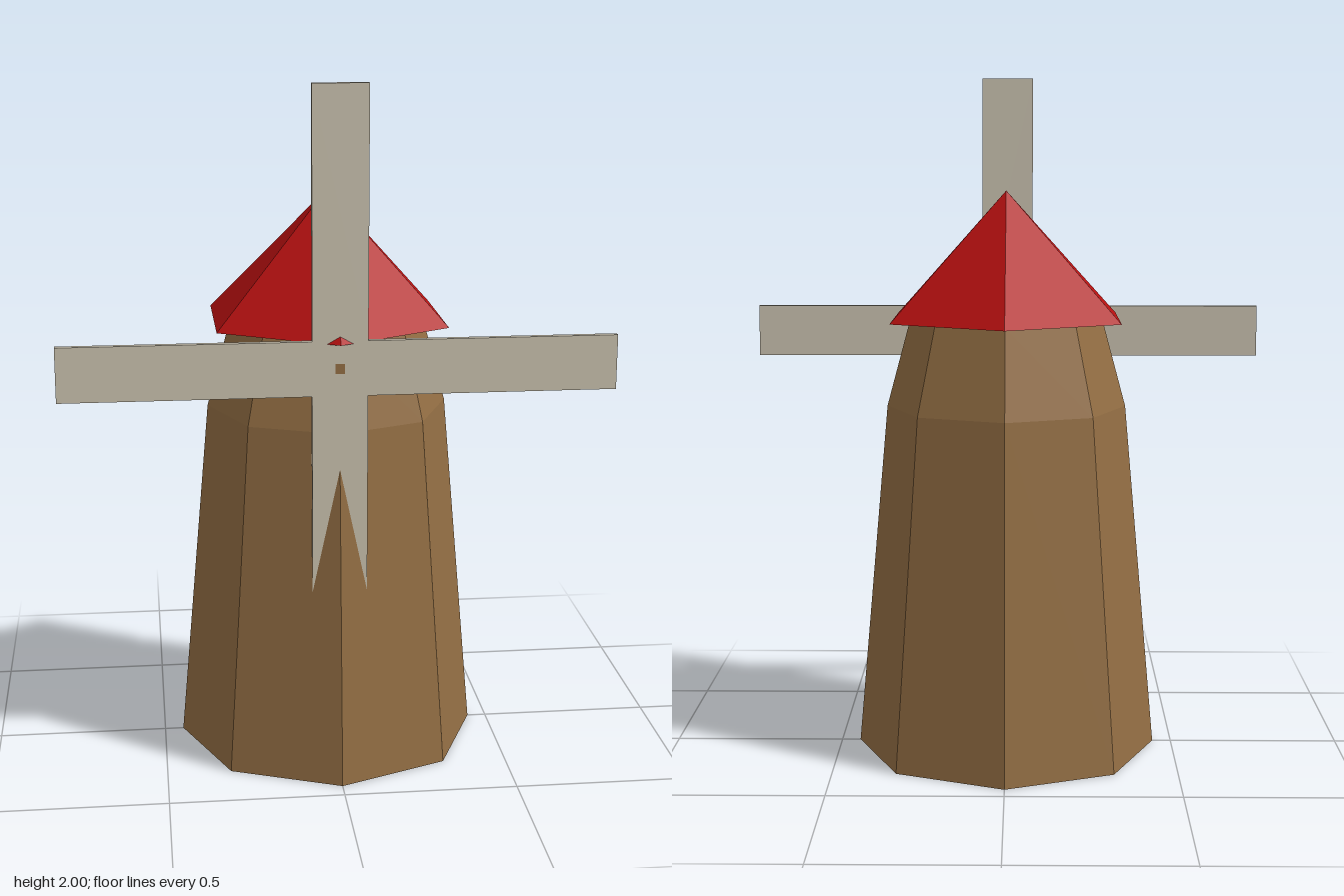
import * as THREE from 'three';

export function createModel() {
  const group = new THREE.Group();
  const material = (name, color) => {
    const m = new THREE.MeshStandardMaterial({ color });
    m.name = name;
    m.flatShading = true;
    return m;
  };
  const wood = material('brown wood', 0x946f44);
  wood.side = THREE.DoubleSide; // the tower is an open shell
  const red = material('roof red', 0xb31010);
  const cream = material('sail cream', 0xccc4b1);

  const add = (name, geometry, mat, y = 0, z = 0) => {
    const mesh = new THREE.Mesh(geometry, mat);
    mesh.name = name;
    mesh.position.set(0, y, z);
    group.add(mesh);
    return mesh;
  };

  // Eight-sided tapering tower, open at the bottom
  const profile = [[0.445, 0], [0.353, 1.03], [0.283, 1.29]];
  add('tower', new THREE.LatheGeometry(profile.map(([r, y]) => new THREE.Vector2(r, y)), 8), wood);

  // Six-sided pointed roof
  add('roof', new THREE.ConeGeometry(0.383, 0.375, 6), red, 1.4775);

  // Cross of four equal sails: one corner pattern turned by quarter turns
  const hubY = 1.22, reach = 0.78, half = 0.078;
  const outline = [];
  for (let i = 0; i < 4; i++) {
    for (const [x, y] of [[reach, -half], [reach, half], [half, half]]) {
      outline.push(new THREE.Vector2(x, y).rotateAround(new THREE.Vector2(), i * Math.PI / 2));
    }
  }
  const sails = new THREE.ExtrudeGeometry(new THREE.Shape(outline), { depth: 0.018, bevelEnabled: false });
  add('sails', sails, cream, hubY, 0.344);

  // Thin shaft from the tower through the hub
  add('shaft', new THREE.BoxGeometry(0.026, 0.028, 0.164), wood, hubY, 0.282);

  return group;
}
